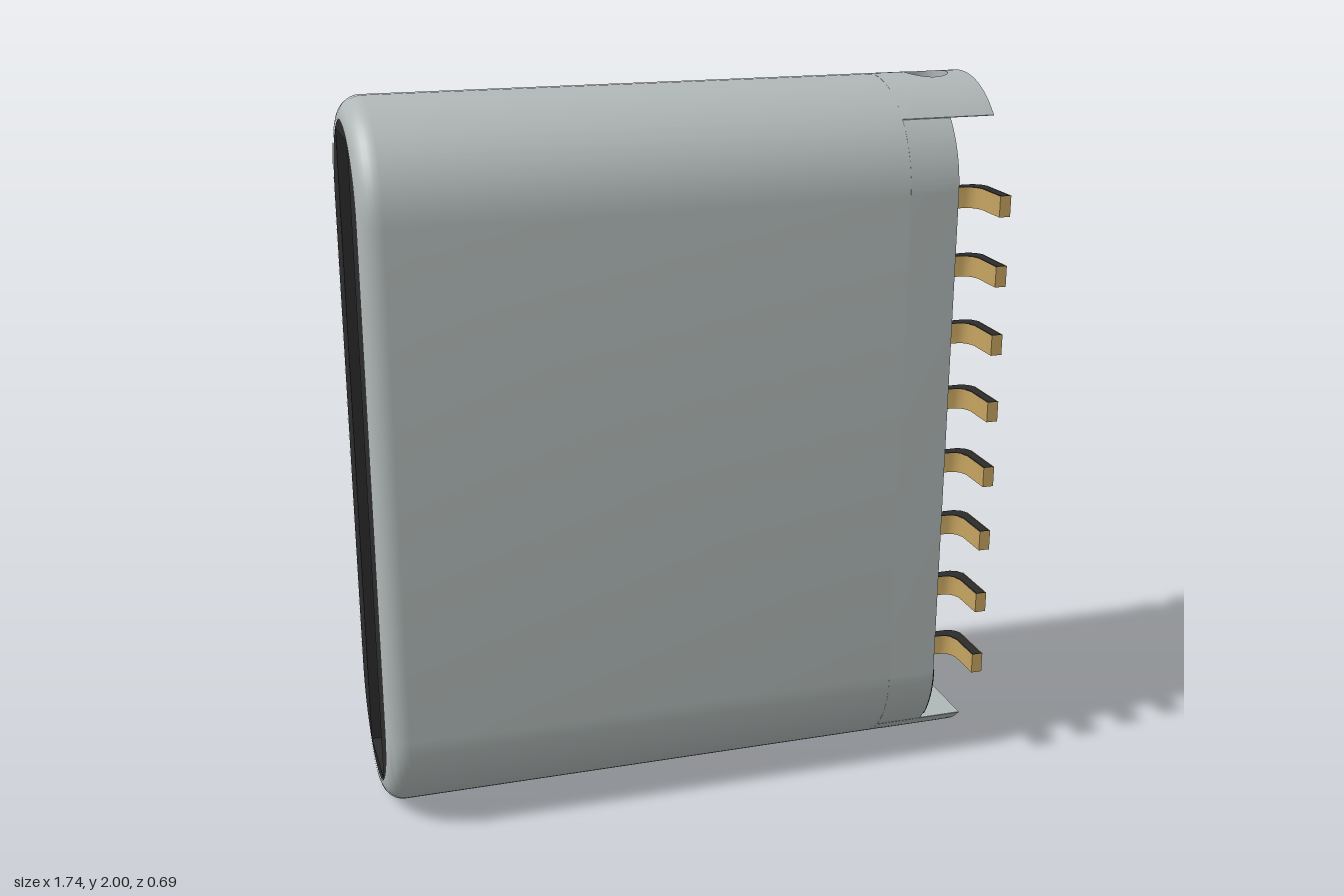
import * as THREE from 'three';
import { toCreasedNormals } from 'three/addons/utils/BufferGeometryUtils.js';

const R = 0.29; // half thickness of the rounded shell
const shellMat = new THREE.MeshStandardMaterial({ color: 0xb0b8b7 });
shellMat.name = 'satin steel';
const plasticMat = new THREE.MeshStandardMaterial({ color: 0x2c2c2c });
plasticMat.name = 'black plastic';
const goldMat = new THREE.MeshStandardMaterial({ color: 0xc6a460, side: THREE.DoubleSide });
goldMat.name = 'gold plating';

// Points of an upright stadium (across, up), inset evenly from the shell outline
function stadium(inset = 0, n = 20) {
  const pts = [], r = R - inset;
  for (let k = 0; k < 2; k++) {
    for (let i = 0; i <= n; i++) {
      const a = Math.PI * (k + i / n);
      pts.push(new THREE.Vector2(r * Math.cos(a), (k ? R : 2 - R) + r * Math.sin(a)));
    }
  }
  return pts;
}

// Skin through closed loops with equal point counts
function loft(sections) {
  const n = sections[0].length, idx = [];
  for (let i = 0; i < sections.length - 1; i++) {
    for (let j = 0; j < n; j++) {
      const a = i * n + j, b = i * n + (j + 1) % n;
      idx.push(a, b, b + n, a, b + n, a + n);
    }
  }
  const g = new THREE.BufferGeometry().setFromPoints(sections.flat());
  g.setIndex(idx);
  return toCreasedNormals(g, 0.6);
}

// Side profile pushed along x
function alongX(shape, x0, x1) {
  const g = new THREE.ExtrudeGeometry(shape, { depth: x1 - x0, bevelEnabled: false, curveSegments: 16 });
  return toCreasedNormals(g.rotateY(Math.PI / 2).translate(x0, 0, 0), 0.6);
}

// Plan profile pushed up y
function alongY(shape, y0, y1) {
  const g = new THREE.ExtrudeGeometry(shape, { depth: y1 - y0, bevelEnabled: false, curveSegments: 16 });
  return toCreasedNormals(g.rotateX(-Math.PI / 2).translate(0, y0, 0), 0.6);
}

// Outer face of a bent pin as (x, across)
function pinPath(o) {
  return [[0.6, 0.205 + o], [0.8 - o, 0.205 + o], [0.815 - o, 0.209 + o], [0.827 - o, 0.221 + o],
    [0.835 - o, 0.24 + o], [0.835 - o, 0.347 + o], [0.867 + o, 0.347 + o], [0.867 + o, 0.195]];
}

export function createModel() {
  const model = new THREE.Group();
  const add = (name, geo, mat, parent = model) => {
    const m = new THREE.Mesh(geo, mat);
    m.name = name;
    parent.add(m);
    return m;
  };
  const box = (name, mat, x0, x1, y0, y1, z0, z1) =>
    add(name, new THREE.BoxGeometry(x1 - x0, y1 - y0, Math.abs(z1 - z0))
      .translate((x0 + x1) / 2, (y0 + y1) / 2, (z0 + z1) / 2), mat);

  // Shell with a rounded mouth edge
  const sections = [];
  for (let i = 0; i <= 8; i++) {
    const a = (i / 8) * Math.PI / 2, f = 0.06;
    const x = -0.81 - f * Math.cos(a);
    sections.push(stadium(f * (1 - Math.sin(a))).map(p => new THREE.Vector3(x, p.y, -p.x)));
  }
  sections.push(stadium().map(p => new THREE.Vector3(0.6, p.y, -p.x)));
  add('shell', loft(sections), shellMat);

  // Solid end tabs, each pierced by a round hole
  const ring = (t, top) => {
    const pts = [];
    for (let i = 0; i < 64; i++) {
      const a = (i / 64) * Math.PI * 2, c = Math.cos(a), s = Math.sin(a);
      const k = 1 / Math.max(Math.abs(c), Math.abs(s));
      const x = (1 - t) * (0.76 + 0.06 * c) + t * (0.735 + 0.135 * c * k);
      const z = -((1 - t) * 0.06 * s + t * 0.213 * s * k);
      pts.push(new THREE.Vector3(x, top ? 2 - R + Math.sqrt(R * R - z * z) : 1.905, z));
    }
    return pts;
  };
  const tabRings = [ring(1, false)];
  for (let i = 10; i >= 0; i--) tabRings.push(ring(i / 10, true));
  tabRings.push(ring(0, false), ring(1, false));
  const tabGeo = loft(tabRings);
  add('topTab', tabGeo, shellMat);
  const bottomTab = add('bottomTab', tabGeo, shellMat);
  bottomTab.rotation.x = Math.PI;
  bottomTab.position.y = 2;

  // Side walls around the rear recess, with dark lower corners
  const wall = new THREE.Shape().moveTo(0.205, 0.095);
  wall.absarc(0, R, R, -0.737, 0, false);
  wall.absarc(0, 2 - R, R, 0, 0.737, false);
  wall.lineTo(0.205, 1.905);
  const corner = new THREE.Shape().moveTo(0.2, 0.12);
  corner.absarc(0, R, R, -0.626, 0, false);
  corner.lineTo(0.2, R);
  for (const s of [1, -1]) {
    const flip = shape => new THREE.Shape(shape.getPoints(16).map(p => new THREE.Vector2(p.x * s, p.y)));
    add('rearSideWall', alongX(flip(wall), 0.6, 0.74), shellMat);
    add('lowerCorner', alongX(flip(corner), 0.739, 0.743), plasticMat);
  }

  // Plastic housing: solid rear, slotted front
  add('rearHousing', alongX(new THREE.Shape(stadium(0.005)), 0, 0.6), plasticMat);
  const mouth = new THREE.Shape(stadium(0.06));
  mouth.holes.push(new THREE.Path([[-0.12, 0.1], [-0.12, 1.9], [0.12, 1.9], [0.12, 0.1]]
    .map(p => new THREE.Vector2(...p))));
  add('frontHousing', alongX(mouth, -0.868, 0), plasticMat);
  for (const y of [0.1, 1.895]) box('slotEndPlate', shellMat, -0.84, 0, y, y + 0.005, -0.12, 0.12);

  // Contacts inside the slot, both rows
  for (const s of [1, -1]) {
    for (const dy of [-0.66, -0.3, -0.18, -0.06, 0.06, 0.18, 0.3, 0.66]) {
      box('contact', goldMat, -0.78, -0.1, 0.97 + dy, 1.03 + dy, s * 0.08, s * 0.125);
    }
  }

  // Central rear rib, grooved in line with the tab holes
  const rib = new THREE.Shape().moveTo(0.6, -0.055);
  rib.lineTo(0.736, -0.055);
  rib.absarc(0.76, 0, 0.06, -1.98, 1.98, true);
  rib.lineTo(0.6, 0.055);
  add('rearRib', alongY(rib, 0.095, 1.905), plasticMat);

  // Bent pins: dark bodies with gold outer faces and feet
  const h = 0.058;
  for (const s of [1, -1]) {
    const outline = [...pinPath(-0.003), [0.855, 0.18], [0.835, 0.17], [0.6, 0.17]];
    const bodyGeo = alongY(new THREE.Shape(outline.map(p => new THREE.Vector2(p[0], -s * p[1]))), -h / 2, h / 2);
    const path = pinPath(0);
    const skin = new THREE.PlaneGeometry(1, h, path.length - 1, 1);
    const pos = skin.attributes.position;
    for (let i = 0; i < pos.count; i++) {
      const p = path[i % path.length];
      pos.setXYZ(i, p[0], pos.getY(i), s * p[1]);
    }
    if (s < 0) skin.setIndex([...skin.index.array].reverse());
    const skinGeo = toCreasedNormals(skin, 0.6);
    for (let i = 0; i < 8; i++) {
      const pin = new THREE.Group();
      pin.name = 'pin';
      pin.position.y = 0.325 + i * 0.1938;
      add('pinBody', bodyGeo, plasticMat, pin);
      add('pinPlating', skinGeo, goldMat, pin);
      model.add(pin);
      // Support block behind each pin
      const y = pin.position.y;
      box('pinSupport', plasticMat, 0.6, 0.68, y - h / 2, y + h / 2, s * 0.05, s * 0.15);
    }
  }
  return model;
}
